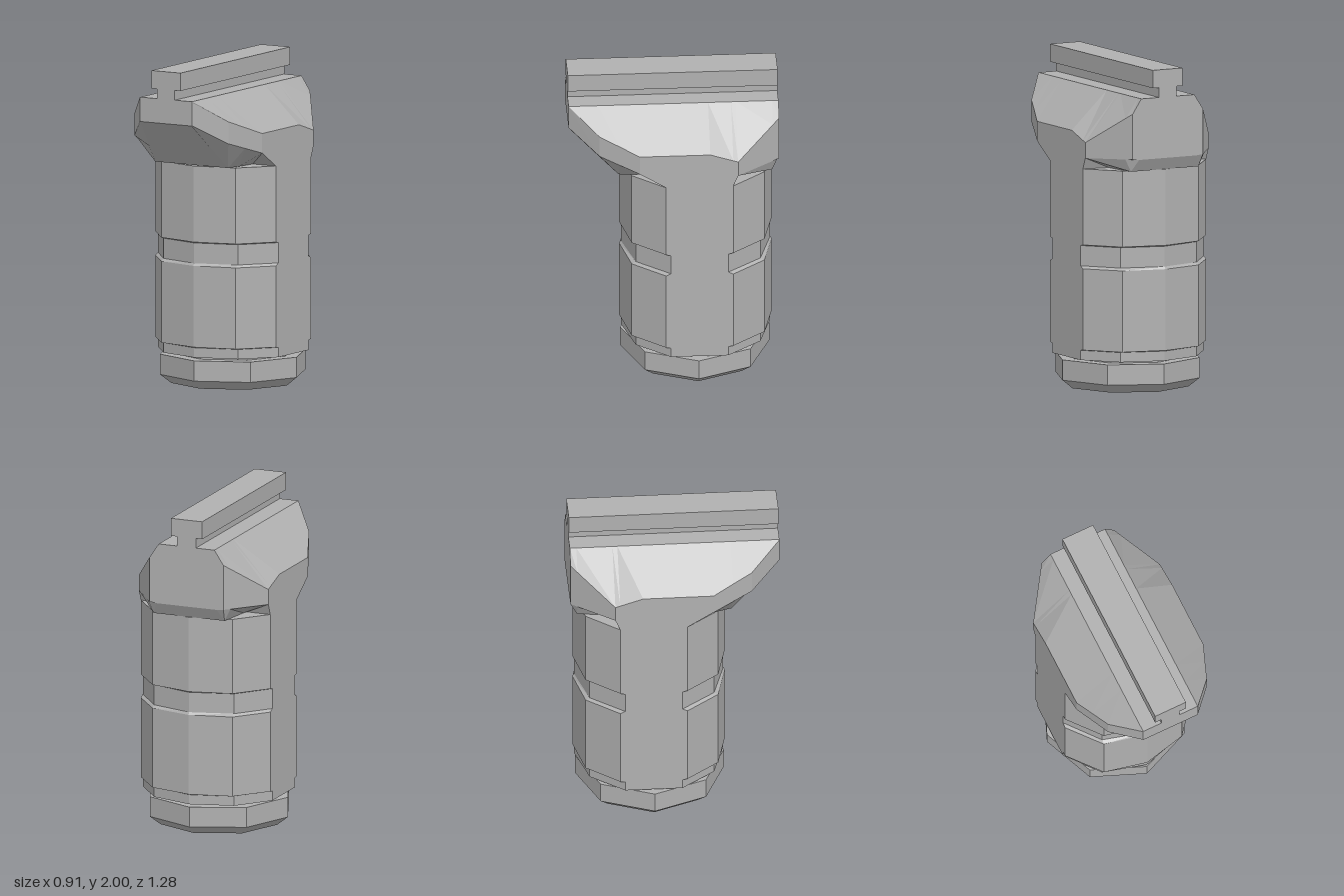
import * as THREE from 'three';

// Skin a stack of closed rings (counter-clockwise seen from the end) and cap both ends.
function loft(rings) {
  const pos = [];
  const tri = (a, b, c) => pos.push(...a, ...b, ...c);
  const n = rings[0].length;
  for (let i = 0; i < rings.length - 1; i++) {
    for (let j = 0; j < n; j++) {
      const k = (j + 1) % n;
      const a = rings[i][j], b = rings[i][k], c = rings[i + 1][k], d = rings[i + 1][j];
      tri(a, b, c);
      tri(a, c, d);
    }
  }
  const first = rings[0], last = rings[rings.length - 1];
  for (let j = 1; j < n - 1; j++) {
    tri(first[0], first[j + 1], first[j]);
    tri(last[0], last[j], last[j + 1]);
  }
  const g = new THREE.BufferGeometry();
  g.setAttribute('position', new THREE.Float32BufferAttribute(pos, 3));
  g.computeVertexNormals();
  return g;
}

export function createModel() {
  const group = new THREE.Group();
  const grey = new THREE.MeshStandardMaterial({ color: 0xb0b0b0 });
  grey.name = 'grey';
  grey.flatShading = true;
  const add = (name, geometry) => {
    const mesh = new THREE.Mesh(geometry, grey);
    mesh.name = name;
    group.add(mesh);
    return mesh;
  };
  const axisZ = -0.14;

  // Octagonal foot with a bevelled underside, and the narrow neck above it
  const octagon = (r, y) => Array.from({ length: 8 }, (_, i) => {
    const a = i * Math.PI / 4;
    return [r * Math.sin(a), y, axisZ + r * Math.cos(a)];
  });
  add('footCap', loft([octagon(0.385, 0), octagon(0.455, 0.055), octagon(0.455, 0.18)]));
  add('neck', loft([octagon(0.375, 0.17), octagon(0.375, 0.21)]));

  // Grip: ten-sided column with flat cheeks; the grooves cut only front and back
  const gripRing = (y, recessed) => {
    const quarter = recessed
      ? [[0, 0.455], [0.265, 0.38], [0.43, 0.175]]
      : [[0, 0.465], [0.265, 0.405], [0.43, 0.205]];
    const [c, p, q] = quarter;
    return [c, p, q, [q[0], -q[1]], [p[0], -p[1]], [0, -c[1]],
      [-p[0], -p[1]], [-q[0], -q[1]], [-q[0], q[1]], [-p[0], p[1]]]
      .map(([x, z]) => [x, y, axisZ - 0.005 + z]);
  };
  add('grip', loft([
    gripRing(0.2, true), gripRing(0.26, true), gripRing(0.265, false),
    gripRing(0.765, false), gripRing(0.78, true),
    gripRing(0.905, true), gripRing(0.912, false), gripRing(1.38, false),
  ]));

  // Head: stations from back to front, each [z, bottom x,y, lower edge x,y, shoulder x,y]
  const stations = [
    [-0.64, 0.2, 1.455, 0.245, 1.46, 0.245, 1.74],
    [-0.6, 0.235, 1.38, 0.274, 1.458, 0.274, 1.71],
    [-0.38, 0.265, 1.38, 0.43, 1.45, 0.43, 1.545],
    [-0.35, 0.265, 1.38, 0.43, 1.38, 0.43, 1.555],
    [-0.21, 0.265, 1.38, 0.43, 1.38, 0.43, 1.6],
    [0.06, 0.265, 1.38, 0.43, 1.38, 0.43, 1.6],
    [0.22, 0.265, 1.385, 0.43, 1.48, 0.43, 1.6],
    [0.34, 0.26, 1.39, 0.382, 1.52, 0.382, 1.648],
    [0.46, 0.23, 1.505, 0.335, 1.56, 0.335, 1.695],
    [0.64, 0.184, 1.68, 0.185, 1.682, 0.186, 1.828],
  ];
  add('head', loft(stations.map(([z, bx, by, lx, ly, sx, sy]) => {
    const half = [[bx, by, z], [lx, ly, z], [sx, sy, z], [0.185, 1.83, z]];
    const mirrored = half.map(([x, y, d]) => [-x, y, d]).reverse();
    return [...half, ...mirrored];
  })));

  // T-shaped mounting rail along the top
  const rail = new THREE.Shape([
    [-0.062, 1.82], [0.062, 1.82], [0.062, 1.89], [0.104, 1.89],
    [0.104, 2], [-0.104, 2], [-0.104, 1.89], [-0.062, 1.89],
  ].map(([x, y]) => new THREE.Vector2(x, y)));
  const railGeometry = new THREE.ExtrudeGeometry(rail, { depth: 1.28, bevelEnabled: false });
  add('rail', railGeometry.translate(0, 0, -0.64));

  return group;
}
